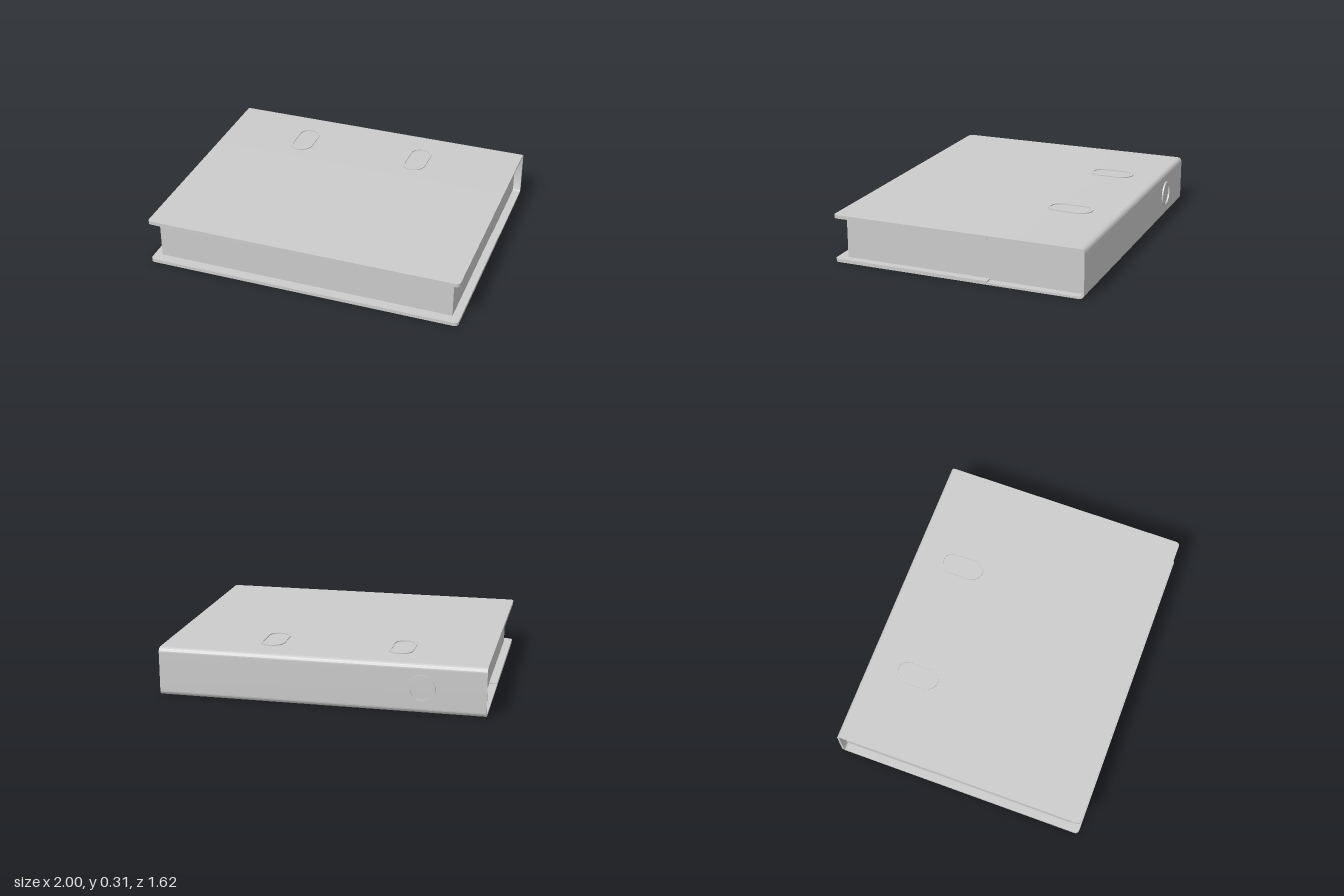
import * as THREE from 'three';
import { toCreasedNormals } from 'three/addons/utils/BufferGeometryUtils.js';

const material = new THREE.MeshStandardMaterial({ color: 0xcccccc });
const HEIGHT = 0.302, BACK = -0.8, FRONT = 0.81, JOIN = -0.2;

function extrude(shape, depth) {
  return new THREE.ExtrudeGeometry(shape, { depth, bevelEnabled: false, curveSegments: 16 });
}

function part(name, geometry) {
  const mesh = new THREE.Mesh(toCreasedNormals(geometry, 0.6), material);
  mesh.name = name;
  return mesh;
}

// Upright stadium outline; a zero half-length gives a circle
function stadium(path, radius, half) {
  path.absarc(0, half, radius, 0, Math.PI);
  path.absarc(0, -half, radius, Math.PI, Math.PI * 2);
  path.closePath();
  return path;
}

function rim(radius, half, width, depth) {
  const shape = stadium(new THREE.Shape(), radius, half);
  shape.holes.push(stadium(new THREE.Path(), radius - width, half));
  return extrude(shape, depth);
}

// Thin C-shaped wrap, drawn as z across and y up
function spineGeometry() {
  const t = 0.014, r = 0.03, s = new THREE.Shape();
  s.moveTo(JOIN, 0);
  s.lineTo(JOIN, t);
  s.lineTo(BACK + r, t);
  s.absarc(BACK + r, r, r - t, -Math.PI / 2, Math.PI, true);
  s.absarc(BACK + r, HEIGHT - r, r - t, Math.PI, Math.PI / 2, true);
  s.lineTo(JOIN, HEIGHT - t);
  s.lineTo(JOIN, HEIGHT);
  s.absarc(BACK + r, HEIGHT - r, r, Math.PI / 2, Math.PI);
  s.absarc(BACK + r, r, r, Math.PI, Math.PI * 1.5);
  s.closePath();
  return extrude(s, 2).rotateY(-Math.PI / 2).translate(1, 0, 0);
}

// Cover board with rounded front corners
function boardGeometry(thickness) {
  const r = 0.025, s = new THREE.Shape();
  s.moveTo(1, -JOIN);
  s.lineTo(-1, -JOIN);
  s.lineTo(-1, -FRONT + r);
  s.absarc(-1 + r, -FRONT + r, r, Math.PI, Math.PI * 1.5);
  s.absarc(1 - r, -FRONT + r, r, Math.PI * 1.5, Math.PI * 2);
  s.closePath();
  return extrude(s, thickness).rotateX(-Math.PI / 2);
}

export function createModel() {
  const group = new THREE.Group();
  group.name = 'ringBinder';

  group.add(part('spineWrap', spineGeometry()));
  const thickness = 0.022;
  group.add(part('bottomCover', boardGeometry(thickness)));
  const top = part('topCover', boardGeometry(thickness));
  top.position.y = HEIGHT - thickness;
  group.add(top);

  // Paper block between the covers
  const pages = part('pageBlock', new THREE.BoxGeometry(1.9, 0.274, 1.531));
  pages.position.set(0, HEIGHT / 2, -0.0205);
  group.add(pages);

  // Slot rims on the top cover
  for (const x of [-0.45, 0.35]) {
    const slot = part('slotRim', rim(0.075, 0.068, 0.014, 0.012).rotateX(-Math.PI / 2));
    slot.position.set(x, HEIGHT - 0.006, -0.477);
    group.add(slot);
  }

  // Finger-hole rim on the spine
  const finger = part('fingerHoleRim', rim(0.083, 0, 0.016, 0.016).rotateY(Math.PI));
  finger.position.set(-0.615, 0.153, BACK + 0.006);
  group.add(finger);

  return group;
}
